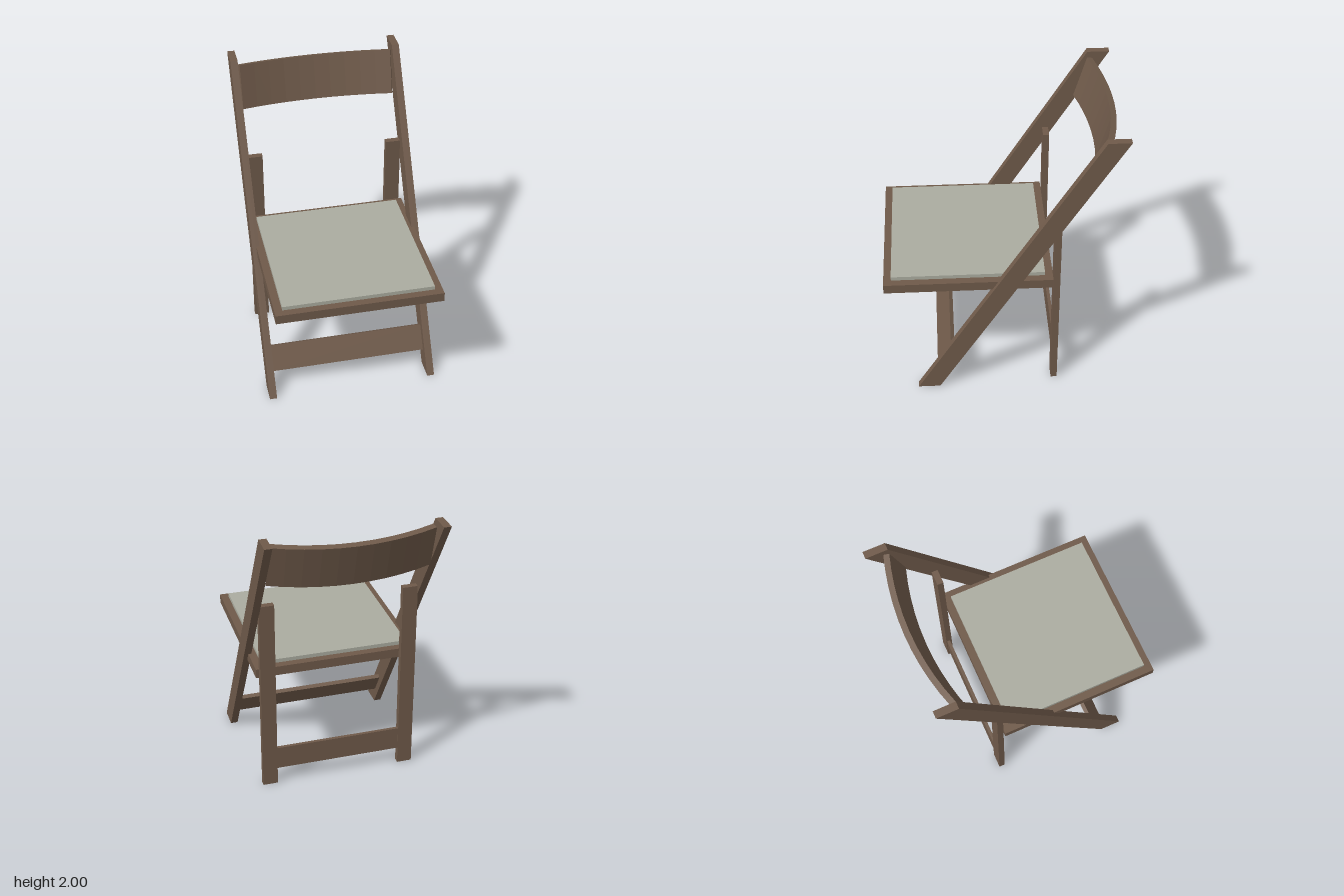
import * as THREE from 'three';

const wood = new THREE.MeshStandardMaterial({ color: 0x6f5a4a });
const fabric = new THREE.MeshStandardMaterial({ color: 0xabaca0 });

export function createModel() {
  const chair = new THREE.Group();
  chair.name = 'foldingChair';

  const add = (name, geometry, material = wood) => {
    const mesh = new THREE.Mesh(geometry, material);
    mesh.name = name;
    chair.add(mesh);
    return mesh;
  };
  // Box given by its limits on each axis
  const box = (name, [x0, x1], [y0, y1], [z0, z1], material) => {
    const mesh = add(name, new THREE.BoxGeometry(x1 - x0, y1 - y0, z1 - z0), material);
    mesh.position.set((x0 + x1) / 2, (y0 + y1) / 2, (z0 + z1) / 2);
    return mesh;
  };

  // Long slanted rails: side outline (z, y) extruded across x
  const outline = new THREE.Shape(
    [[0.59, 0], [0.59 - 1.23, 2], [-0.79, 2], [0.44, 0]].map(([z, y]) => new THREE.Vector2(z, y)));
  const railGeometry = new THREE.ExtrudeGeometry(outline, { depth: 0.05, bevelEnabled: false });
  railGeometry.translate(0, 0, -0.025).rotateY(-Math.PI / 2);

  for (const [side, s] of [['left', 1], ['right', -1]]) {
    add(side + 'Rail', railGeometry).position.x = s * 0.567;
    // Upright rear legs
    const leg = box(side + 'RearLeg', [-0.052, 0.052], [0, 1.4], [-0.385, -0.342]);
    leg.position.x = s * 0.492;
  }

  // Stretchers between the legs; the front one follows the rail slant
  box('rearStretcher', [-0.44, 0.44], [0.12, 0.285], [-0.38, -0.357]);
  const front = add('frontStretcher', new THREE.BoxGeometry(1.084, 0.182, 0.03));
  front.position.set(0, 0.2, 0.392);
  front.rotation.x = -Math.atan(1.23 / 2);

  // Seat and pad
  box('seat', [-0.563, 0.563], [0.845, 0.91], [-0.337, 0.793]);
  box('seatPad', [-0.51, 0.51], [0.91, 0.937], [-0.284, 0.742], fabric);

  // Curved backrest: arc band extruded upward, then leaned back
  const radius = 1.76, thickness = 0.04, half = 0.313, steps = 10;
  const band = [];
  for (let i = 0; i <= steps; i++) {
    const a = -half + (2 * half * i) / steps;
    band.push(new THREE.Vector2(radius * Math.sin(a), radius * Math.cos(a) - radius));
  }
  const inner = radius - thickness;
  for (let i = steps; i >= 0; i--) {
    const a = -half + (2 * half * i) / steps;
    band.push(new THREE.Vector2(inner * Math.sin(a), inner * Math.cos(a) - radius));
  }
  const backGeometry = new THREE.ExtrudeGeometry(new THREE.Shape(band), { depth: 0.308, bevelEnabled: false });
  backGeometry.rotateX(-Math.PI / 2);
  const back = add('backrest', backGeometry);
  back.position.set(0, 1.633, -0.672);
  back.rotation.x = -0.28;

  return chair;
}
